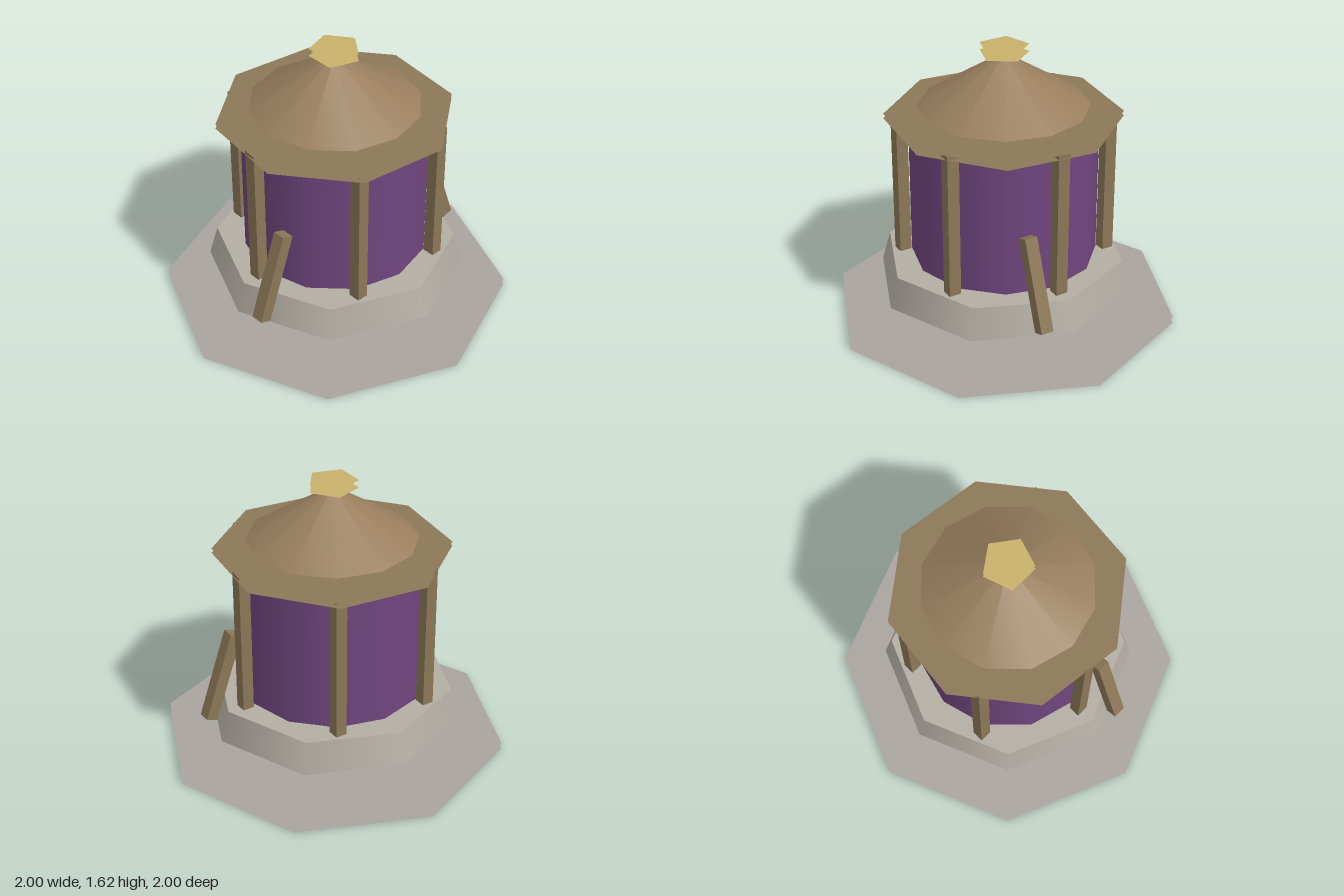
import * as THREE from 'three';

const paint = (name, color) => {
  const m = new THREE.MeshStandardMaterial({ color, side: THREE.DoubleSide });
  m.name = name;
  return m;
};

export function createModel() {
  const model = new THREE.Group();
  model.name = 'roundHut';

  const stone = paint('stone', 0xaaa49f);
  const paleStone = paint('paleStone', 0xb3aea4);
  const purple = paint('purpleWall', 0x71467f);
  const timber = paint('timber', 0x8c7757);
  const thatch = paint('thatch', 0x997e5e);
  const gold = paint('gold', 0xc8b16a);

  const add = (name, geometry, material, x = 0, y = 0, z = 0) => {
    const mesh = new THREE.Mesh(geometry, material);
    mesh.name = name;
    mesh.position.set(x, y, z);
    model.add(mesh);
    return mesh;
  };

  // Flat polygon plate, facing up or down
  const plate = (name, radius, sides, y, material, turn = 0, down = false) => {
    const g = new THREE.CircleGeometry(radius, sides, turn);
    g.rotateX(-Math.PI / 2);
    if (down) {
      g.rotateX(Math.PI);
      g.rotateY(2 * turn);
    }
    return add(name, g, material, 0, y, 0);
  };

  // Ground slab: two open-sided octagons
  plate('groundSlabTop', 1, 8, 0.04, stone);
  plate('groundSlabBottom', 1, 8, 0, stone, 0, true);

  // Tapered stone plinth
  add('plinth', new THREE.CylinderGeometry(0.69, 0.74, 0.18, 8), paleStone, 0, 0.28, 0);

  // Round wall
  add('wall', new THREE.CylinderGeometry(0.53, 0.53, 0.82, 12), purple, 0, 0.78, 0);

  // Six posts around the wall
  for (let i = 0; i < 6; i++) {
    const a = (i * Math.PI) / 3;
    add('post', new THREE.BoxGeometry(0.066, 0.85, 0.07), timber,
      0.58 * Math.cos(a), 0.795, 0.58 * Math.sin(a));
  }

  // Leaning struts, one on each side
  for (const s of [1, -1]) {
    const strut = add('strut', new THREE.BoxGeometry(0.07, 0.53, 0.075), timber, s * 0.633, 0.495, 0.18);
    strut.rotation.z = s * 0.336;
  }

  // Eaves: open-sided octagonal plates, turned slightly
  plate('eavesTop', 0.665, 8, 1.221, timber, 0.274);
  plate('eavesBottom', 0.665, 8, 1.195, timber, 0.274, true);

  // Conical roof
  add('roof', new THREE.CylinderGeometry(0, 0.48, 0.31, 12), thatch, 0, 1.425, 0);

  // Finial: two pentagonal plates
  plate('finialTop', 0.143, 5, 1.615, gold);
  plate('finialBottom', 0.143, 5, 1.572, gold, 0, true);

  return model;
}
